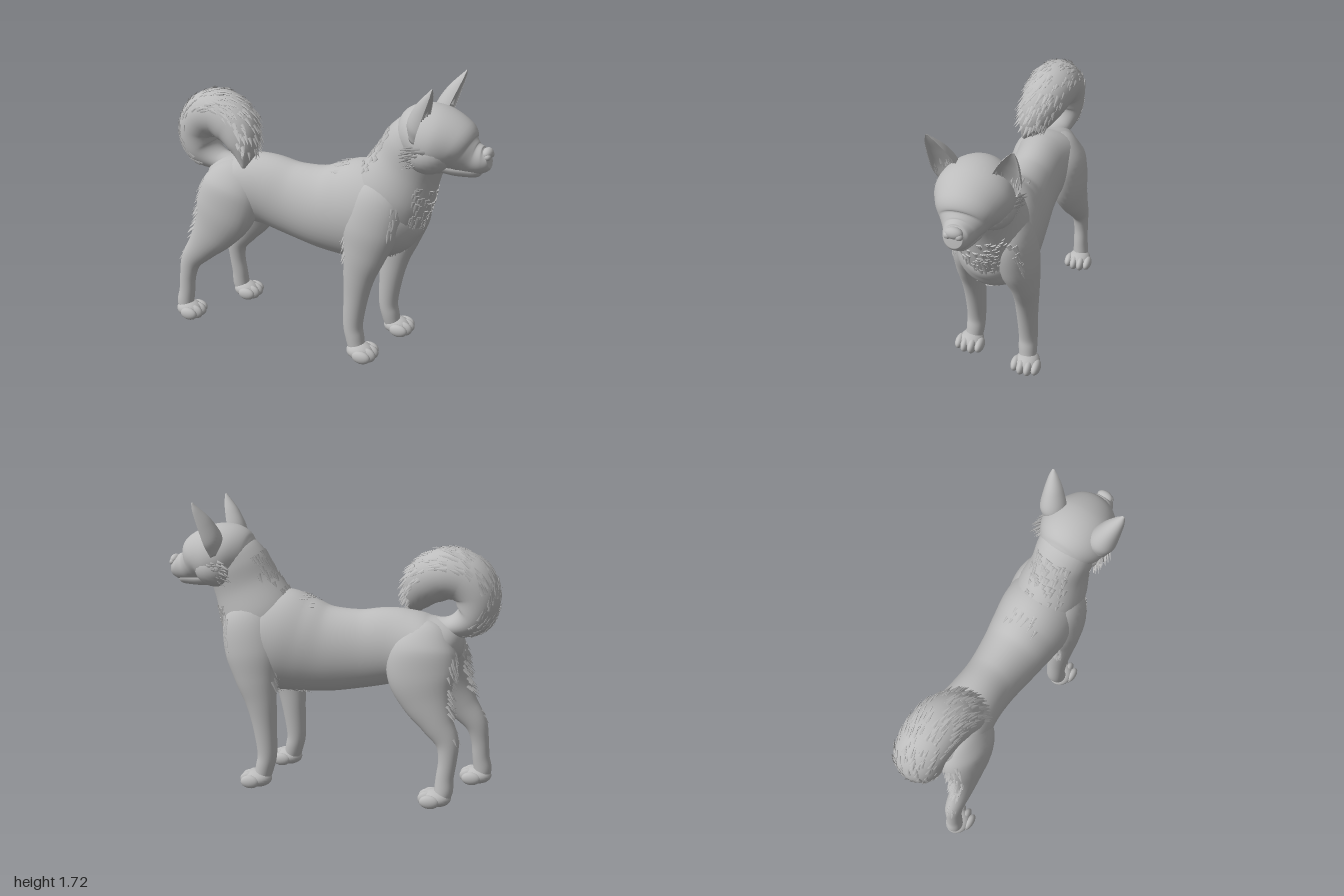
import * as THREE from 'three';
import { mergeGeometries } from 'three/addons/utils/BufferGeometryUtils.js';

const coat = new THREE.MeshStandardMaterial({ color: 0xbcbcbc });
coat.name = 'grey coat';

let seed = 7;
const rand = () => (seed = (seed * 16807) % 2147483647) / 2147483647;
const between = (a, b) => a + (b - a) * rand();
const Z = new THREE.Vector3(0, 0, 1);

// Smooth tube through sections [x, y, z, halfDepth, halfWidth]; depth lies in the xy plane
function surface(sections, hollow = false) {
  const path = new THREE.CatmullRomCurve3(sections.map(s => new THREE.Vector3(s[0], s[1], s[2])), false, 'catmullrom');
  const size = new THREE.CatmullRomCurve3(sections.map(s => new THREE.Vector3(s[3], s[4], 0)), false, 'catmullrom');
  return (u, angle, scale = 1) => {
    const c = path.getPoint(u), T = path.getTangent(u), r = size.getPoint(u);
    const N = Z.clone().cross(T).normalize(), B = T.clone().cross(N);
    let k = Math.cos(angle);
    if (hollow && k < 0) k *= -0.3;
    const a = Math.max(r.x, 0.002) * scale, b = Math.max(r.y, 0.002) * scale;
    const p = c.addScaledVector(N, a * k).addScaledVector(B, b * Math.sin(angle));
    const n = N.multiplyScalar(k * b).addScaledVector(B, Math.sin(angle) * a).normalize();
    return { p, n, T };
  };
}

function loftGeometry(at, rows = 48, sides = 32) {
  const pos = [], idx = [];
  for (let i = -1; i <= rows + 1; i++) {
    const u = Math.min(1, Math.max(0, i / rows));
    const closed = i < 0 || i > rows;
    for (let j = 0; j < sides; j++) {
      pos.push(...at(u, (j / sides) * Math.PI * 2, closed ? 0 : 1).p.toArray());
    }
  }
  for (let i = 0; i < rows + 2; i++) {
    for (let j = 0; j < sides; j++) {
      const a = i * sides + j, b = i * sides + (j + 1) % sides;
      idx.push(a, b, a + sides, b, b + sides, a + sides);
    }
  }
  const g = new THREE.BufferGeometry();
  g.setAttribute('position', new THREE.Float32BufferAttribute(pos, 3));
  g.setIndex(idx);
  g.computeVertexNormals();
  return g;
}

function add(group, name, geometry) {
  const m = new THREE.Mesh(geometry, coat);
  m.name = name;
  group.add(m);
  return m;
}

function ellipsoid(group, name, p, r, rot = [0, 0, 0]) {
  const m = add(group, name, new THREE.SphereGeometry(1, 24, 16));
  m.position.set(...p);
  m.scale.set(...r);
  m.rotation.set(...rot);
}

// Flat pointed locks scattered over a patch of a surface, lying along its flow
function fur(group, name, at, count, [u0, u1], [a0, a1], flow, lift = 0.3, length = 0.06) {
  const locks = [];
  for (let i = 0; i < count; i++) {
    const { p, n, T } = at(between(u0, u1), between(a0, a1));
    const dir = T.clone().multiplyScalar(flow).addScaledVector(n, lift).normalize();
    const side = dir.clone().cross(n).normalize();
    const up = side.clone().cross(dir);
    const l = length * between(0.7, 1.2);
    const g = new THREE.ConeGeometry(l * 0.24, l, 6);
    g.scale(1, 1, 0.35);
    g.translate(0, l * 0.3, 0);
    g.applyMatrix4(new THREE.Matrix4().makeBasis(side, dir, up).setPosition(p));
    locks.push(g);
  }
  add(group, name, mergeGeometries(locks));
}

function paw(group, name, x, z) {
  ellipsoid(group, name + 'Pad', [x - 0.015, 0.055, z], [0.085, 0.052, 0.074]);
  [-0.064, -0.022, 0.022, 0.064].forEach((d, i) => {
    const inner = Math.abs(d) < 0.03;
    ellipsoid(group, name + 'Toe' + (i + 1), [x + (inner ? 0.035 : 0.018), 0.048, z + d], [0.058, inner ? 0.046 : 0.04, 0.028]);
  });
}

export function createModel() {
  const dog = new THREE.Group();
  dog.name = 'dog';
  const PI = Math.PI;

  // Torso and neck
  const torso = surface([
    [-0.79, 0.92, 0, 0.05, 0.05], [-0.72, 0.925, 0, 0.145, 0.15], [-0.6, 0.905, 0, 0.19, 0.203],
    [-0.48, 0.9, 0, 0.217, 0.186], [-0.36, 0.895, 0, 0.227, 0.168], [-0.2, 0.865, 0, 0.235, 0.165],
    [0, 0.85, 0, 0.26, 0.19], [0.15, 0.865, 0, 0.29, 0.215], [0.3, 0.89, 0, 0.31, 0.235],
    [0.45, 0.9, 0, 0.25, 0.222], [0.54, 0.92, 0, 0.165, 0.16], [0.59, 0.94, 0, 0.07, 0.07]]);
  add(dog, 'torso', loftGeometry(torso, 64, 40));
  const neck = surface([
    [0.33, 0.78, 0, 0.2, 0.14], [0.38, 0.9, 0, 0.237, 0.185], [0.44, 1.045, 0, 0.243, 0.2],
    [0.515, 1.21, 0, 0.205, 0.17], [0.57, 1.335, 0, 0.185, 0.17], [0.62, 1.42, 0, 0.14, 0.15],
    [0.66, 1.47, 0, 0.05, 0.06]]);
  add(dog, 'neck', loftGeometry(neck));
  fur(dog, 'maneFur', neck, 65, [0.38, 0.68], [-0.8, 0.8], -1, 0.12);
  fur(dog, 'chestFur', neck, 130, [0.02, 0.46], [PI - 0.9, PI + 0.9], -1, 0.08, 0.07);
  fur(dog, 'bellyFur', torso, 40, [0.6, 0.84], [PI - 0.4, PI + 0.4], -1, 0.1, 0.05);
  fur(dog, 'withersFur', torso, 14, [0.62, 0.68], [-0.5, 0.5], -1, 0.06, 0.05);

  // Head with separate lower jaw
  const head = surface([
    [0.44, 1.37, 0, 0.05, 0.05], [0.5, 1.375, 0, 0.13, 0.13], [0.6, 1.39, 0, 0.18, 0.2],
    [0.7, 1.375, 0, 0.187, 0.213], [0.79, 1.355, 0, 0.16, 0.175], [0.85, 1.32, 0, 0.108, 0.125],
    [0.9, 1.302, 0, 0.09, 0.09], [0.95, 1.302, 0, 0.074, 0.07], [0.982, 1.31, 0, 0.048, 0.048]]);
  add(dog, 'head', loftGeometry(head, 64, 40));
  const jaw = surface([
    [0.72, 1.255, 0, 0.055, 0.1], [0.8, 1.245, 0, 0.053, 0.092], [0.87, 1.241, 0, 0.048, 0.074],
    [0.92, 1.24, 0, 0.042, 0.055], [0.945, 1.242, 0, 0.022, 0.03]]);
  add(dog, 'lowerJaw', loftGeometry(jaw, 24, 24));
  ellipsoid(dog, 'nose', [0.97, 1.34, 0], [0.03, 0.032, 0.048]);

  for (const s of [1, -1]) {
    const side = s > 0 ? 'left' : 'right';

    // Face
    ellipsoid(dog, side + 'Cheek', [0.67, 1.325, s * 0.1], [0.13, 0.115, 0.118]);
    ellipsoid(dog, side + 'Brow', [0.832, 1.432, s * 0.083], [0.026, 0.017, 0.062], [-s * 0.42, -s * 0.55, 0]);
    ellipsoid(dog, side + 'Eye', [0.838, 1.397, s * 0.09], [0.022, 0.014, 0.035], [-s * 0.35, -s * 0.55, 0]);
    ellipsoid(dog, side + 'Nostril', [0.978, 1.328, s * 0.03], [0.02, 0.02, 0.022]);
    fur(dog, side + 'CheekFur', head, 34, [0.24, 0.36], s > 0 ? [1.6, 2.4] : [-2.4, -1.6], -1, 0.7, 0.08);

    // Cupped ear, open to the front
    const ex = s > 0 ? 0 : 0.03;
    const ear = surface([
      [0.63 + ex, 1.41, s * 0.16, 0.05, 0.06], [0.657 + ex, 1.49, s * 0.17, 0.088, 0.08],
      [0.69 + ex, 1.59, s * 0.195, 0.072, 0.06], [0.715 + ex, 1.67, s * 0.22, 0.036, 0.032],
      [0.725 + ex, 1.718, s * 0.233, 0.006, 0.007]], true);
    add(dog, side + 'Ear', loftGeometry(ear, 28, 32));
    fur(dog, side + 'EarFur', ear, 14, [0.18, 0.36], [PI - 1.1, PI + 1.1], 1, 0.1, 0.05);

    // Foreleg; the right one stands a little further forward
    const fx = s > 0 ? 0 : 0.075;
    const foreleg = surface([
      [0.42, 1.15, 0.06, 0.07, 0.05], [0.395, 1.02, 0.115, 0.155, 0.108], [0.36, 0.84, 0.152, 0.168, 0.112],
      [0.335, 0.69, 0.178, 0.13, 0.084], [0.305, 0.55, 0.18, 0.098, 0.071], [0.285, 0.4, 0.178, 0.075, 0.063],
      [0.27, 0.22, 0.18, 0.06, 0.057], [0.285, 0.13, 0.183, 0.056, 0.056], [0.305, 0.05, 0.19, 0.05, 0.05],
    ].map(([x, y, z, a, b]) => [x + fx, y, z * s, a, b]));
    add(dog, side + 'Foreleg', loftGeometry(foreleg));
    paw(dog, side + 'ForePaw', 0.341 + fx, s * 0.195);
    fur(dog, side + 'ElbowFur', foreleg, 36, [0.18, 0.45], [PI - 0.6, PI + 0.4], 1, 0.2);
    fur(dog, side + 'ShoulderFur', foreleg, 14, [0.08, 0.24], s > 0 ? [0.5, 0.8] : [-0.8, -0.5], 1, 0.12);

    // Hind leg; the right one steps forward
    const stride = y => (s > 0 ? 0 : 0.19 * Math.min(1, Math.max(0, (1 - y) / 0.95)));
    const hindLeg = surface([
      [-0.56, 1.06, 0.03, 0.06, 0.04], [-0.57, 0.99, 0.07, 0.155, 0.1], [-0.59, 0.89, 0.1, 0.2, 0.135],
      [-0.625, 0.76, 0.14, 0.197, 0.11], [-0.69, 0.63, 0.162, 0.15, 0.083], [-0.775, 0.51, 0.175, 0.1, 0.065],
      [-0.86, 0.4, 0.18, 0.07, 0.053], [-0.89, 0.29, 0.187, 0.054, 0.046], [-0.9, 0.18, 0.192, 0.052, 0.046],
      [-0.912, 0.1, 0.197, 0.055, 0.05], [-0.905, 0.04, 0.2, 0.045, 0.05],
    ].map(([x, y, z, a, b]) => [x + stride(y), y, z * s, a, b]));
    add(dog, side + 'HindLeg', loftGeometry(hindLeg));
    paw(dog, side + 'HindPaw', -0.868 + stride(0), s * 0.2);
    fur(dog, side + 'ThighFur', hindLeg, 60, [0.2, 0.5], [PI - 0.6, PI + 0.6], 1, 0.25);
    fur(dog, side + 'HockFur', hindLeg, 6, [0.54, 0.62], [PI - 0.8, PI + 0.8], 1, 0.15, 0.04);
  }

  // Curled bushy tail, its tip falling to the left side
  const tail = surface([
    [-0.58, 1.02, 0, 0.06, 0.07], [-0.73, 1.035, 0, 0.065, 0.09], [-0.84, 1.1, 0, 0.11, 0.125],
    [-0.862, 1.22, 0, 0.13, 0.14], [-0.795, 1.315, 0.005, 0.145, 0.148], [-0.68, 1.337, 0.015, 0.147, 0.15],
    [-0.568, 1.275, 0.045, 0.138, 0.135], [-0.503, 1.17, 0.09, 0.088, 0.095], [-0.48, 1.06, 0.14, 0.008, 0.01]]);
  add(dog, 'tail', loftGeometry(tail, 72, 36));
  fur(dog, 'tailFur', tail, 300, [0.17, 0.92], [-1.3, 1.3], 1, 0.2, 0.065);

  return dog;
}
